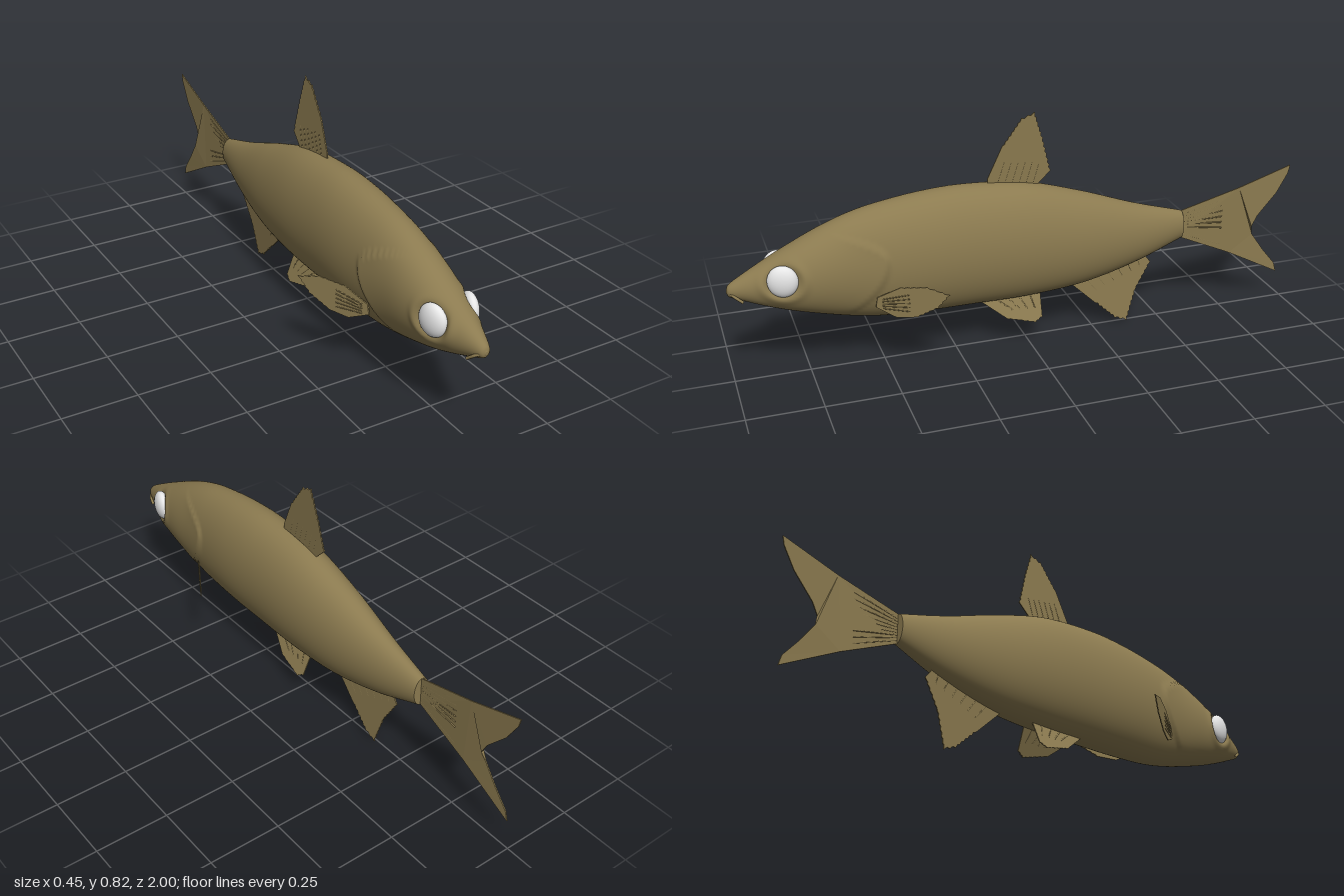
import * as THREE from 'three';

const skin = new THREE.MeshStandardMaterial({ color: 0x8c7b50 });
skin.name = 'olive skin';
const eyeWhite = new THREE.MeshStandardMaterial({ color: 0xe6e6e6 });
eyeWhite.name = 'eye white';

// Body stations: z, back height, belly height, half width
const stations = [
  [1.0, 0.335, 0.325, 0.004], [0.99, 0.353, 0.31, 0.018], [0.95, 0.378, 0.293, 0.035],
  [0.88, 0.416, 0.265, 0.06], [0.8, 0.457, 0.238, 0.083], [0.7, 0.505, 0.21, 0.096],
  [0.6, 0.543, 0.186, 0.102], [0.5, 0.567, 0.171, 0.108], [0.35, 0.588, 0.165, 0.116],
  [0.2, 0.594, 0.164, 0.116], [0, 0.576, 0.164, 0.111], [-0.2, 0.52, 0.18, 0.093],
  [-0.4, 0.45, 0.228, 0.062], [-0.58, 0.398, 0.295, 0.03],
];

const EYE = { x: 0.064, y: 0.368, z: 0.828 };
const smooth = THREE.MathUtils.smoothstep;

// Sideways relief: raised gill cover with a sharp rear edge, and sunken eye sockets
function relief(y, z) {
  const k = y > 0.41 ? 20 : 3.5;
  const d = z - (0.5 + k * (y - 0.41) ** 2);
  const mask = smooth(y, 0.2, 0.25) * (1 - smooth(y, 0.48, 0.53));
  const gill = 0.008 * mask * smooth(d, -0.018, 0.004) * Math.exp(-Math.max(d, 0) / 0.07);
  const r = Math.hypot(z - EYE.z, y - EYE.y);
  const socket = -0.016 * (1 - smooth(r, 0.035, 0.066));
  const rim = 0.004 * Math.exp(-(((r - 0.07) / 0.014) ** 2));
  return gill + socket + rim;
}

function bodyGeometry(rows = 200, cols = 72) {
  const outline = new THREE.CatmullRomCurve3(
    stations.map(([z, t, b]) => new THREE.Vector3(z, t, b)), false, 'catmullrom');
  const widths = new THREE.CatmullRomCurve3(
    stations.map((s) => new THREE.Vector3(s[3], 0, 0)), false, 'catmullrom');
  const pos = [], index = [];
  for (let i = 0; i <= rows; i++) {
    const { x: z, y: top, z: bottom } = outline.getPoint(i / rows);
    const w = widths.getPoint(i / rows).x;
    for (let j = 0; j < cols; j++) {
      const a = (j / cols) * Math.PI * 2, c = Math.cos(a);
      const y = (top + bottom) / 2 + ((top - bottom) / 2) * Math.sin(a);
      pos.push(c * (w + relief(y, z) * Math.abs(c)), y, z);
      if (i < rows) {
        const p = i * cols + j, q = i * cols + ((j + 1) % cols);
        index.push(p, p + cols, q, q, p + cols, q + cols);
      }
    }
  }
  // Close the nose and the tail root with their own vertices
  for (const [row, z, y] of [[0, 1, 0.33], [rows, -0.58, 0.3465]]) {
    const base = pos.length / 3;
    for (let j = 0; j < cols; j++) {
      const s = (row * cols + j) * 3;
      pos.push(pos[s], pos[s + 1], pos[s + 2]);
    }
    pos.push(0, y, z);
    for (let j = 0; j < cols; j++) {
      const a = base + j, b = base + ((j + 1) % cols);
      index.push(base + cols, ...(row === 0 ? [a, b] : [b, a]));
    }
  }
  const g = new THREE.BufferGeometry();
  g.setAttribute('position', new THREE.Float32BufferAttribute(pos, 3));
  g.setIndex(index);
  g.computeVertexNormals();
  return g;
}

// Fin from [z, y] points: a thin plate, leaning sideways by lean(z, y).
// Edges between the indices in ragged get small teeth; rays fan from root points.
function makeFin(name, points, lean, ragged, rays) {
  const fin = new THREE.Group();
  fin.name = name;
  const thick = 0.004, edge = [];
  const cz = points.reduce((s, p) => s + p[0], 0) / points.length;
  const cy = points.reduce((s, p) => s + p[1], 0) / points.length;
  points.forEach(([z, y], i) => {
    const [nz, ny] = points[(i + 1) % points.length];
    edge.push([z, y]);
    if (i < ragged[0] || i >= ragged[1]) return;
    const teeth = Math.max(2, Math.round(Math.hypot(nz - z, ny - y) / 0.02));
    for (let k = 1; k < teeth * 2; k++) {
      const t = k / (teeth * 2), pull = k % 2 ? 0.05 : 0;
      const ez = z + (nz - z) * t, ey = y + (ny - y) * t;
      edge.push([ez + (cz - ez) * pull, ey + (cy - ey) * pull]);
    }
  });
  const shape = new THREE.Shape(edge.map(([z, y]) => new THREE.Vector2(-z, y)));
  const g = new THREE.ExtrudeGeometry(shape, { depth: thick, bevelEnabled: false });
  const p = g.attributes.position;
  for (let i = 0; i < p.count; i++) {
    const z = -p.getX(i), y = p.getY(i);
    p.setXYZ(i, lean(z, y) + p.getZ(i) - thick / 2, y, z);
  }
  g.computeVertexNormals();
  const web = new THREE.Mesh(g, skin);
  web.name = name + 'Web';
  fin.add(web);

  // Rays run from the root line a-b toward the far line c-d
  const { a, b, c, d, count } = rays;
  for (let i = 0; i < count; i++) {
    const t = (i + 0.5) / count;
    const at = (m, n) => {
      const z = m[0] + (n[0] - m[0]) * t, y = m[1] + (n[1] - m[1]) * t;
      return new THREE.Vector3(lean(z, y), y, z);
    };
    const line = new THREE.LineCurve3(at(a, b), at(c, d));
    const ray = new THREE.Mesh(new THREE.TubeGeometry(line, 1, 0.003, 5), skin);
    ray.name = name + 'Ray';
    fin.add(ray);
  }
  return fin;
}

export function createModel() {
  const fish = new THREE.Group();
  fish.name = 'fish';
  const body = new THREE.Mesh(bodyGeometry(), skin);
  body.name = 'body';
  fish.add(body);

  // Upper lip
  const lipPath = new THREE.CatmullRomCurve3([
    [-0.032, 0.298, 0.952], [-0.022, 0.32, 0.98], [0, 0.327, 0.993],
    [0.022, 0.32, 0.98], [0.032, 0.298, 0.952],
  ].map((q) => new THREE.Vector3(...q)));
  const lip = new THREE.Mesh(new THREE.TubeGeometry(lipPath, 24, 0.005, 8), skin);
  lip.name = 'lip';
  fish.add(lip);

  // Fins on the midline
  fish.add(makeFin('dorsalFin',
    [[0.13, 0.58], [0.13, 0.605], [0.08, 0.715], [0.015, 0.805], [-0.03, 0.822], [-0.06, 0.73], [-0.09, 0.61], [-0.04, 0.56]],
    (z, y) => 0.045 * (y - 0.59), [2, 6],
    { a: [0.11, 0.58], b: [-0.04, 0.565], c: [0.085, 0.66], d: [-0.06, 0.64], count: 6 }));
  fish.add(makeFin('analFin',
    [[-0.16, 0.185], [-0.26, 0.09], [-0.335, 0.02], [-0.38, 0.003], [-0.415, 0.12], [-0.47, 0.215], [-0.44, 0.255], [-0.3, 0.215]],
    (z, y) => 0.06 * (0.17 - y), [1, 5],
    { a: [-0.2, 0.19], b: [-0.44, 0.245], c: [-0.25, 0.13], d: [-0.445, 0.21], count: 6 }));
  fish.add(makeFin('tailFin',
    [[-0.57, 0.395], [-0.8, 0.457], [-0.997, 0.52], [-0.99, 0.49], [-0.95, 0.42], [-0.88, 0.34], [-0.86, 0.30],
      [-0.87, 0.265], [-0.92, 0.195], [-0.97, 0.135], [-0.98, 0.1], [-0.78, 0.205], [-0.57, 0.3]],
    (z, y) => 0.006 * smooth(-z, 0.6, 0.9) * Math.sign(y - 0.3), [9, 9],
    { a: [-0.575, 0.385], b: [-0.575, 0.305], c: [-0.74, 0.43], d: [-0.74, 0.235], count: 9 }));

  // Paired fins and eyes
  for (const [side, s] of [['left', 1], ['right', -1]]) {
    fish.add(makeFin(side + 'PectoralFin',
      [[0.54, 0.245], [0.535, 0.28], [0.465, 0.325], [0.39, 0.335], [0.325, 0.315], [0.36, 0.265], [0.42, 0.225], [0.48, 0.215]],
      (z) => s * (0.105 + (0.52 - z) * 0.6), [2, 6],
      { a: [0.52, 0.28], b: [0.52, 0.24], c: [0.44, 0.31], d: [0.44, 0.235], count: 5 }));
    fish.add(makeFin(side + 'PelvicFin',
      [[0.17, 0.175], [0.08, 0.105], [-0.02, 0.08], [-0.045, 0.095], [-0.048, 0.175]],
      (z, y) => s * (0.025 + (0.165 - y) * 0.42), [1, 3],
      { a: [0.13, 0.17], b: [-0.03, 0.17], c: [0.07, 0.13], d: [-0.035, 0.125], count: 4 }));

    const eye = new THREE.Mesh(new THREE.SphereGeometry(1, 40, 28), eyeWhite);
    eye.name = side + 'Eye';
    eye.scale.set(0.026, 0.054, 0.05);
    eye.position.set(s * EYE.x, EYE.y, EYE.z);
    eye.rotation.y = -s * 0.26;
    fish.add(eye);
  }
  return fish;
}
